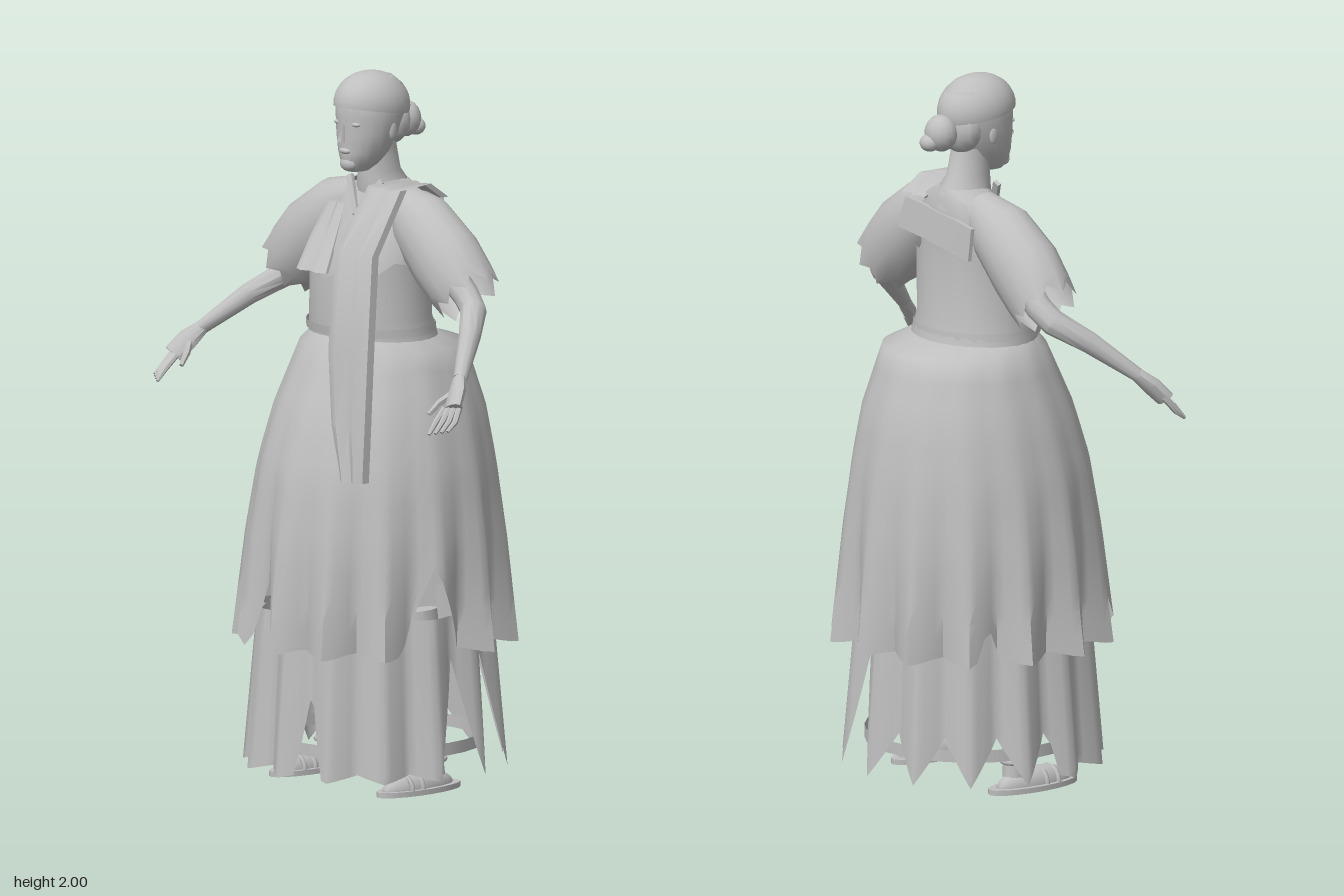
import * as THREE from 'three';
import { toCreasedNormals } from 'three/addons/utils/BufferGeometryUtils.js';

const V = (x, y, z) => new THREE.Vector3(x, y, z);
const TAU = Math.PI * 2;

// Skin a list of closed rings of points; optional end caps
function loft(rings, cap = true, crease = 0.7) {
  const n = rings[0].length, pos = [], idx = [];
  rings.forEach(r => r.forEach(p => pos.push(p.x, p.y, p.z)));
  for (let i = 0; i < rings.length - 1; i++)
    for (let j = 0; j < n; j++) {
      const a = i * n + j, b = i * n + (j + 1) % n;
      idx.push(a, b, a + n, b, b + n, a + n);
    }
  if (cap) [0, rings.length - 1].forEach((i, e) => {
    const c = rings[i].reduce((s, p) => s.add(p), V(0, 0, 0)).divideScalar(n);
    const k = pos.length / 3;
    pos.push(c.x, c.y, c.z);
    for (let j = 0; j < n; j++) {
      const a = i * n + j, b = i * n + (j + 1) % n;
      e ? idx.push(a, b, k) : idx.push(b, a, k);
    }
  });
  const g = new THREE.BufferGeometry();
  g.setAttribute('position', new THREE.Float32BufferAttribute(pos, 3));
  g.setIndex(idx);
  return toCreasedNormals(g, crease);
}

// Horizontal oval rings from rows of [y, half width, front z, back z]
function body(rows, n = 20, cap = true) {
  return loft(rows.map(([y, rx, zf, zb]) => Array.from({ length: n }, (_, j) => {
    const a = j / n * TAU;
    return V(Math.sin(a) * rx, y, (zf + zb) / 2 + Math.cos(a) * (zf - zb) / 2);
  })), cap);
}

// Tapered limb through rows of [x, y, z, in-plane radius, depth radius]; jag makes the last rim ragged
function limb(rows, n = 10, cap = true, jag = 0) {
  const p = rows.map(r => V(r[0], r[1], r[2]));
  return loft(rows.map((r, i) => {
    const t = p[Math.min(i + 1, p.length - 1)].clone().sub(p[Math.max(i - 1, 0)]).normalize();
    const u = V(0, 0, 1).cross(t).normalize(), v = t.clone().cross(u);
    return Array.from({ length: n }, (_, j) => {
      const a = j / n * TAU, q = i === p.length - 1 ? jag * (j % 2 ? -1 : 0.4) : 0;
      return p[i].clone().addScaledVector(u, Math.cos(a) * r[3]).addScaledVector(v, Math.sin(a) * (r[4] ?? r[3])).addScaledVector(t, q);
    });
  }), cap);
}

// Pleated skirt: rows of [y, half width, front z, back z, pleat depth], hem height by angle
function skirt(rows, hem, folds = 14, n = 112, steps = 14) {
  const at = y => {
    let i = 0;
    while (i < rows.length - 2 && y < rows[i + 1][0]) i++;
    const f = (rows[i][0] - y) / (rows[i][0] - rows[i + 1][0]);
    return rows[i].map((v, k) => v + (rows[i + 1][k] - v) * f);
  };
  const rings = [];
  for (let k = -1; k <= steps; k++) rings.push(Array.from({ length: n }, (_, j) => {
    const a = (j / n - 0.5) * TAU;
    const y = k < 0 ? rows[0][0] : rows[1][0] + (hem(a) - rows[1][0]) * k / steps;
    const [, rx, zf, zb, depth] = at(y);
    const ph = Math.abs(a) * folds / TAU, tri = Math.abs(ph - Math.round(ph)) * 2;
    const s = 1 - depth * tri;
    return V(Math.sin(a) * rx * s, y, (zf + zb) / 2 + Math.cos(a) * (zf - zb) / 2 * s);
  }));
  return loft(rings, false, 1.1);
}

// Folded strip of cloth: rows of [y, z, x0, x1]
function strip(rows, thick = 0.025, ripple = 0.008) {
  return loft(rows.map(([y, z, x0, x1]) => {
    const front = [], back = [];
    for (let i = 0; i <= 4; i++) {
      const x = x0 + (x1 - x0) * i / 4, w = (i % 2 ? 1 : -1) * ripple;
      front.push(V(x, y, z + w));
      back.unshift(V(x, y, z + w - thick));
    }
    return [...front, ...back];
  }), true, 0.9);
}

export function createModel() {
  const model = new THREE.Group();
  const grey = new THREE.MeshStandardMaterial({ color: 0xbfbfbf, side: THREE.DoubleSide });
  grey.name = 'plain grey';
  const add = (name, geo, parent = model) => {
    const m = new THREE.Mesh(geo, grey);
    m.name = name;
    parent.add(m);
    return m;
  };
  const ball = (name, x, y, z, rx, ry, rz) => {
    const m = add(name, new THREE.SphereGeometry(1, 14, 10));
    m.position.set(x, y, z);
    m.scale.set(rx, ry, rz);
    return m;
  };

  // Head, neck and face
  add('head', body([[1.725, 0.025, 0.1, 0.03], [1.745, 0.045, 0.116, -0.01], [1.78, 0.067, 0.118, -0.035],
    [1.83, 0.084, 0.118, -0.06], [1.88, 0.09, 0.12, -0.085], [1.92, 0.09, 0.12, -0.09],
    [1.96, 0.074, 0.09, -0.08], [1.985, 0.048, 0.055, -0.05], [1.993, 0.01, 0.01, -0.01]]));
  add('neck', body([[1.63, 0.09, 0.04, -0.12], [1.68, 0.065, 0.05, -0.11], [1.72, 0.052, 0.05, -0.08], [1.8, 0.052, 0.05, -0.06]]));
  const nose = add('nose', new THREE.ConeGeometry(0.016, 0.06, 4));
  nose.position.set(0, 1.84, 0.122);
  nose.rotation.x = -0.25;
  ball('lips', 0, 1.785, 0.113, 0.022, 0.009, 0.012);
  ball('chin', 0, 1.748, 0.1, 0.03, 0.022, 0.02);
  for (const s of [-1, 1]) {
    ball('eye', s * 0.034, 1.862, 0.104, 0.017, 0.007, 0.012);
    ball('ear', s * 0.083, 1.84, 0.01, 0.006, 0.025, 0.014);
  }

  // Hair: tilted cap and bun
  const cap = add('hairCap', new THREE.SphereGeometry(1, 24, 10, 0, TAU, 0, Math.PI * 0.54));
  cap.scale.set(0.095, 0.096, 0.118);
  cap.position.set(0, 1.904, 0.013);
  cap.rotation.x = -0.15;
  ball('hairBack', 0, 1.86, -0.045, 0.08, 0.075, 0.05);
  ball('hairBun', 0, 1.85, -0.11, 0.05, 0.052, 0.045);
  ball('bunEnd', 0.01, 1.825, -0.142, 0.03, 0.025, 0.028);

  // Torso, bodice and belt
  add('torso', body([[1.25, 0.18, 0.15, -0.13], [1.4, 0.17, 0.15, -0.12], [1.5, 0.175, 0.12, -0.12],
    [1.6, 0.165, 0.07, -0.12], [1.66, 0.13, 0.045, -0.115], [1.69, 0.06, 0.03, -0.105]], 24));
  const bodiceGeo = body([[1.24, 0.2, 0.17, -0.165], [1.32, 0.185, 0.175, -0.14], [1.45, 0.188, 0.17, -0.14]], 28, false);
  const bp = bodiceGeo.attributes.position;
  for (let i = 0; i < bp.count; i++) if (bp.getY(i) > 1.44) {
    const a = Math.atan2(bp.getX(i), bp.getZ(i));
    bp.setY(i, 1.485 + 0.02 * Math.sin(a * 7) - 0.045 * Math.cos(a));
  }
  add('bodice', toCreasedNormals(bodiceGeo, 0.7));
  add('belt', body([[1.275, 0.196, 0.18, -0.152], [1.3, 0.194, 0.184, -0.15]], 24, false));
  for (const s of [-1, 1]) {
    const lapel = add('collar', new THREE.BoxGeometry(0.02, 0.12, 0.012));
    lapel.position.set(s * 0.035, 1.65, 0.052);
    lapel.rotation.set(-0.35, 0, -s * 0.55);
  }
  add('chestRuffle', strip([[1.62, 0.055, -0.14, -0.07], [1.53, 0.11, -0.15, -0.05], [1.44, 0.165, -0.15, -0.03]], 0.01, 0.006));

  // Shawl band over the back
  const band = add('backShawl', strip([[0.045, 0.005, -0.15, 0.15], [-0.045, -0.005, -0.16, 0.16]], 0.012, 0.003));
  band.position.set(0, 1.58, -0.115);
  band.rotation.z = 0.12;

  // Scarf hanging from the left shoulder
  add('scarf', strip([[1.65, -0.085, 0.07, 0.17], [1.695, -0.02, 0.06, 0.17], [1.69, 0.08, 0.05, 0.18], [1.52, 0.205, 0.05, 0.2],
    [1.25, 0.25, 0.07, 0.23], [1.05, 0.275, 0.11, 0.245], [0.9, 0.288, 0.16, 0.25]]));
  add('scarfUnderlayer', strip([[1.5, 0.185, 0.06, 0.15], [1.25, 0.235, 0.06, 0.16], [1.0, 0.265, 0.13, 0.19]], 0.015, 0.006));

  // Overskirt with torn notches: [angle, half width, height]
  const notches = [[-0.58, 0.16, 0.18], [-0.16, 0.2, 0.25], [1.3, 0.26, 0.26], [-2.1, 0.1, 0.1]];
  add('overskirt', skirt([[1.27, 0.185, 0.17, -0.14, 0], [1.235, 0.235, 0.2, -0.255, 0.01], [1.06, 0.295, 0.28, -0.315, 0.015],
    [0.9, 0.333, 0.33, -0.345, 0.025], [0.7, 0.365, 0.365, -0.372, 0.07], [0.4, 0.4, 0.405, -0.405, 0.17]],
    a => notches.reduce((h, [c, w, t]) => h + t * Math.max(0, 1 - Math.abs(a - c) / w), 0.4 + 0.008 * (1 - Math.cos(a * 14)))));

  // Underskirt, torn open on the left rear, with its hoop
  add('underskirt', skirt([[0.5, 0.325, 0.33, -0.33, 0.08], [0.42, 0.335, 0.34, -0.34, 0.09], [0.06, 0.37, 0.37, -0.37, 0.12]],
    a => {
      const tooth = 1 - Math.abs(((Math.abs(a) * 7 / Math.PI) % 1) - 0.5) * 2;
      const tall = a > 1.3 ? 0.33 : a < -1.5 ? 0.13 : 0.02;
      return 0.05 + tall * tooth + 0.25 * Math.max(0, 1 - Math.abs(a - 0.25) / 0.13);
    }));
  const hoop = add('hoop', new THREE.CylinderGeometry(0.3, 0.3, 0.035, 28, 1, true));
  hoop.position.y = 0.125;

  // Mirrored limbs
  for (const s of [-1, 1]) {
    const side = new THREE.Group();
    side.name = s > 0 ? 'leftLimbs' : 'rightLimbs';
    side.scale.x = s;
    model.add(side);
    const put = (name, geo) => add(name, geo, side);

    // Puffed sleeve and arm
    put('sleeve', limb([[0.07, 1.645, -0.03, 0.05, 0.055], [0.16, 1.586, -0.025, 0.096, 0.085], [0.265, 1.5, -0.02, 0.11, 0.095],
      [0.33, 1.437, -0.02, 0.104, 0.092], [0.365, 1.405, -0.02, 0.094, 0.088]], 16, false, 0.025));
    put('arm', limb([[0.25, 1.48, -0.03, 0.042], [0.34, 1.405, -0.03, 0.038], [0.385, 1.37, -0.015, 0.037], [0.45, 1.315, 0.06, 0.031],
      [0.53, 1.22, 0.17, 0.02]]));
    // Hand and fingers
    put('palm', limb([[0.525, 1.225, 0.165, 0.02, 0.018], [0.55, 1.19, 0.2, 0.034, 0.02], [0.57, 1.15, 0.235, 0.034, 0.018]]));
    for (let f = 0; f < 4; f++) {
      const d = f / 3;
      put('finger', limb([[0.548 + 0.035 * d, 1.15 + 0.008 * d, 0.245 - 0.025 * d, 0.009], [0.552 + 0.045 * d, 1.118, 0.28 - 0.03 * d, 0.008],
        [0.555 + 0.043 * d, 1.085 + 0.01 * d, 0.31 - 0.03 * d, 0.005]], 6));
    }
    put('thumb', limb([[0.54, 1.19, 0.2, 0.011], [0.515, 1.16, 0.235, 0.01], [0.505, 1.13, 0.265, 0.006]], 6));

    // Leg, shoe and sole
    put('leg', limb([[0.17, 0.5, -0.01, 0.05], [0.19, 0.32, -0.02, 0.048], [0.21, 0.1, -0.02, 0.03], [0.215, 0.04, -0.02, 0.034]]));
    put('ankleStrap', new THREE.TorusGeometry(0.034, 0.008, 6, 14).rotateX(Math.PI / 2).translate(0.213, 0.085, -0.02));
    put('foot', new THREE.SphereGeometry(1, 14, 8, 0, TAU, 0, Math.PI / 2).scale(0.042, 0.05, 0.13).translate(0.22, 0.012, 0.045));
    put('sole', new THREE.CylinderGeometry(1, 1, 0.015, 20).scale(0.055, 1, 0.15).translate(0.22, 0.0075, 0.04));
    for (const z of [0.06, 0.1])
      put('shoeStrap', new THREE.TorusGeometry(0.042, 0.007, 6, 12, Math.PI).translate(0.22, 0.012, z));
  }
  return model;
}
